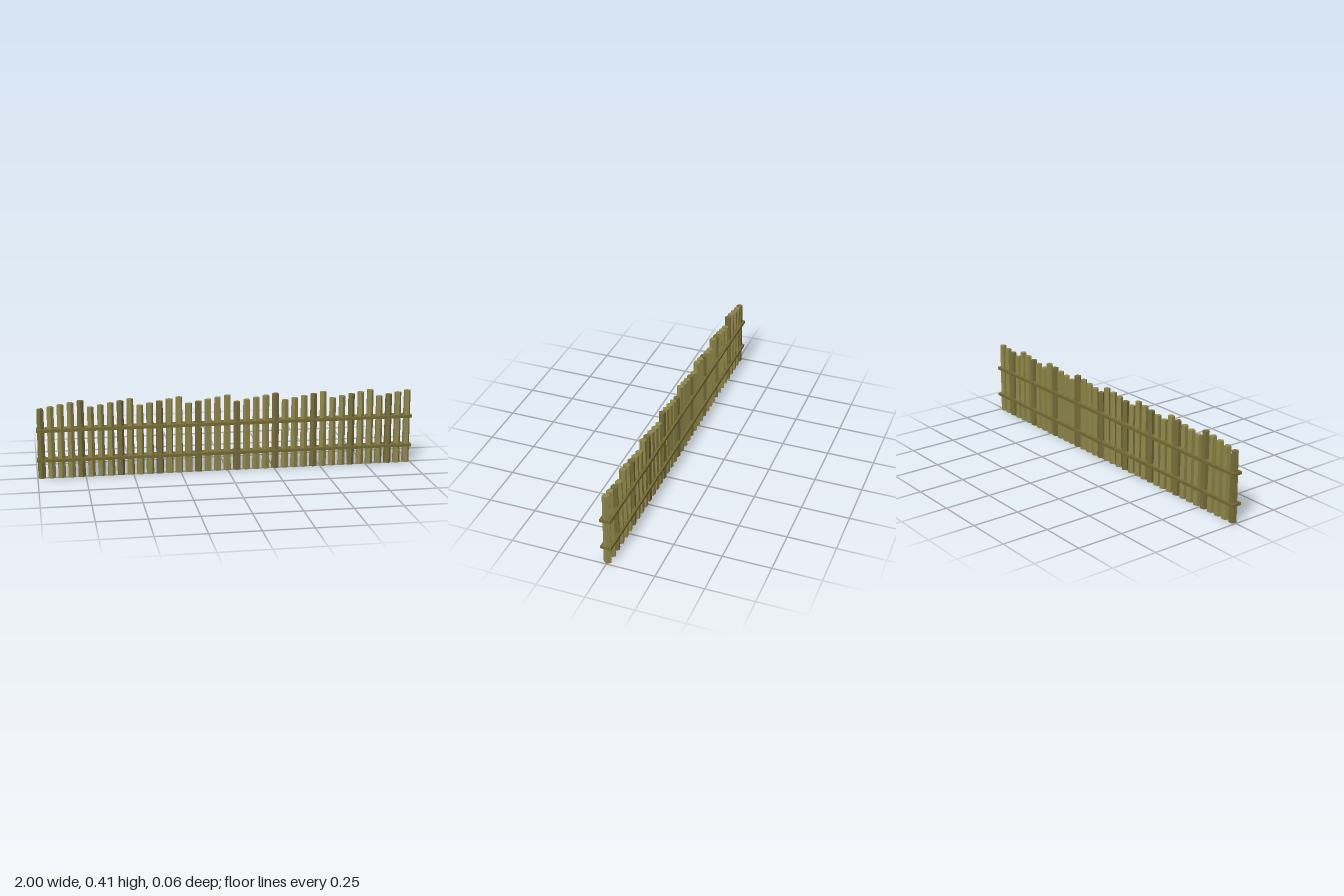
import * as THREE from 'three';

function material(name, color) {
  const m = new THREE.MeshStandardMaterial({ color, flatShading: true });
  m.name = name;
  return m;
}

export function createModel() {
  const group = new THREE.Group();
  const stakeWood = material('light olive wood', 0x8f864a);
  const darkStakeWood = material('dark olive wood', 0x766c38);
  const railWood = material('rail wood', 0x746a34);

  // Row of tapered five-sided stakes, rising in steps of five, each turned a little
  const count = 39;
  const spacing = 1.954 / (count - 1);
  const heights = [0.37, 0.379, 0.388, 0.397, 0.406];
  for (let i = 0; i < count; i++) {
    const h = heights[i % 5];
    const stake = new THREE.Mesh(
      new THREE.CylinderGeometry(0.0185, 0.021, h, 5),
      i % 4 === 0 ? darkStakeWood : stakeWood);
    stake.name = 'stake' + (i + 1);
    stake.position.set((i - (count - 1) / 2) * spacing, h / 2, 0);
    stake.rotation.y = i * 1.3;
    group.add(stake);
  }

  // Two long rails enclosing the stakes
  for (const [name, y] of [['lowerRail', 0.097], ['upperRail', 0.257]]) {
    const rail = new THREE.Mesh(new THREE.BoxGeometry(2, 0.015, 0.056), railWood);
    rail.name = name;
    rail.position.y = y;
    group.add(rail);
  }
  return group;
}
